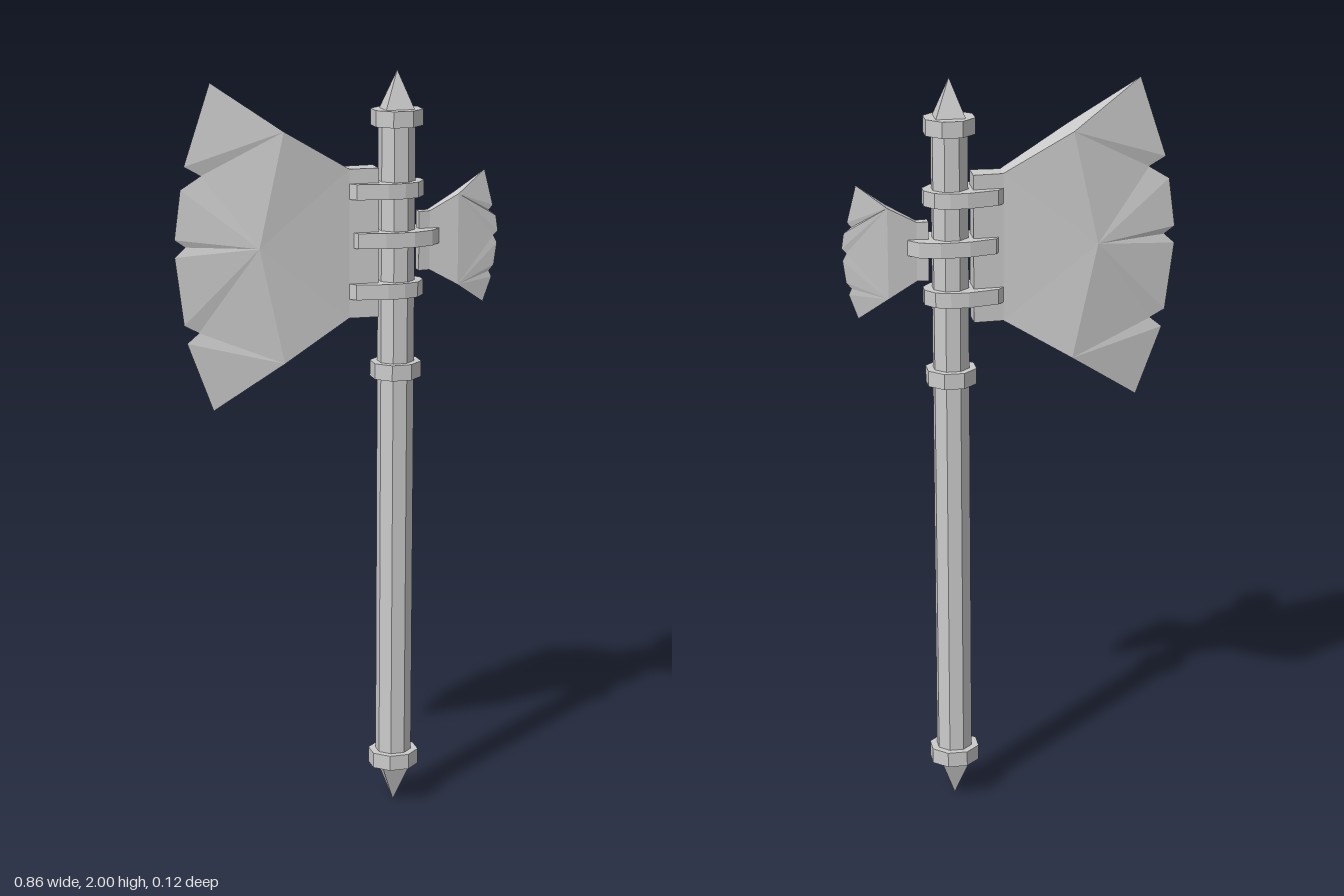
import * as THREE from 'three';

const material = new THREE.MeshStandardMaterial({ color: 0xcccccc, flatShading: true });
const SHAFT_X = 0.153;

function add(parent, name, geometry, x = 0, y = 0) {
  const mesh = new THREE.Mesh(geometry, material);
  mesh.name = name;
  mesh.position.set(x, y, 0);
  parent.add(mesh);
  return mesh;
}

// Eight-sided bar with flats facing the axes, slightly narrower in z
function octagon(halfWidth, height) {
  const r = halfWidth / Math.cos(Math.PI / 8);
  return new THREE.CylinderGeometry(r, r, height, 8).rotateY(Math.PI / 8).scale(1, 1, 0.92);
}

// Blade skinned over rows of points (root to cutting edge, each listed top to bottom).
// Each row has a half thickness z; flip is set for a blade growing towards +x.
function bladeGeometry(rows, flip) {
  const positions = [];
  const front = rows.map(r => r.points.map(([x, y]) => new THREE.Vector3(x, y, r.z)));
  const back = rows.map(r => r.points.map(([x, y]) => new THREE.Vector3(x, y, -r.z)));
  const tri = (a, b, c) => {
    if (a.equals(b) || b.equals(c) || a.equals(c)) return;
    for (const p of flip ? [a, c, b] : [a, b, c]) positions.push(p.x, p.y, p.z);
  };
  const quad = (a, b, c, d) => { tri(a, b, c); tri(a, c, d); };

  for (let k = 0; k < rows.length - 1; k++) {
    const a = front[k], b = front[k + 1], A = back[k], B = back[k + 1];
    // Zip both rows together along the shorter diagonal
    let i = 0, j = 0;
    while (i < a.length - 1 || j < b.length - 1) {
      const stepA = j === b.length - 1 ||
        (i < a.length - 1 && a[i + 1].distanceTo(b[j]) < a[i].distanceTo(b[j + 1]));
      if (stepA) {
        tri(a[i], b[j], a[i + 1]);
        tri(A[i], A[i + 1], B[j]);
        i++;
      } else {
        tri(a[i], b[j], b[j + 1]);
        tri(A[i], B[j + 1], B[j]);
        j++;
      }
    }
    // Upper and lower rims
    quad(a[0], A[0], B[0], b[0]);
    quad(a[i], b[j], B[j], A[i]);
  }
  // Root end
  const f = front[0], g = back[0], n = f.length - 1;
  quad(f[0], f[n], g[n], g[0]);

  const geometry = new THREE.BufferGeometry();
  geometry.setAttribute('position', new THREE.Float32BufferAttribute(positions, 3));
  geometry.computeVertexNormals();
  return geometry;
}

// Strap outline given on one side and mirrored in z
function strapGeometry(half, height) {
  const outline = [...half, ...half.map(([x, z]) => [x, -z]).reverse()];
  const shape = new THREE.Shape(outline.map(([x, z]) => new THREE.Vector2(x, z)));
  return new THREE.ExtrudeGeometry(shape, { depth: height, bevelEnabled: false })
    .rotateX(-Math.PI / 2).translate(0, -height / 2, 0);
}

export function createModel() {
  const axe = new THREE.Group();
  axe.name = 'battleAxe';

  // Shaft, collars and end spikes
  add(axe, 'shaft', octagon(0.045, 1.78), SHAFT_X, 1.0);
  [['lowerCollar', 0.13], ['middleCollar', 1.22], ['upperCollar', 1.88]].forEach(([name, y]) =>
    add(axe, name, octagon(0.063, 0.042), SHAFT_X, y));
  const spike = new THREE.ConeGeometry(0.054, 0.1, 4).rotateY(Math.PI / 4).scale(1, 1, 0.82);
  add(axe, 'topSpike', spike, SHAFT_X, 1.95);
  add(axe, 'bottomSpike', spike.clone().scale(1, 1.08, 1).rotateX(Math.PI), SHAFT_X, 0.054);

  // Large blade with a notched edge
  add(axe, 'largeBlade', bladeGeometry([
    { z: 0.029, points: [[0.097, 1.755], [0.097, 1.367]] },
    { z: 0.025, points: [[0.02, 1.755], [0.02, 1.367]] },
    { z: 0.046, points: [[-0.157, 1.86], [-0.222, 1.565], [-0.157, 1.262]] },
    { z: 0, points: [
      [-0.336, 1.983], [-0.405, 1.775], [-0.362, 1.75], [-0.415, 1.717], [-0.432, 1.59],
      [-0.405, 1.57], [-0.432, 1.545], [-0.41, 1.367], [-0.372, 1.346], [-0.403, 1.32],
      [-0.336, 1.138]] },
  ], false));

  // Small rear blade
  add(axe, 'smallBlade', bladeGeometry([
    { z: 0.014, points: [[0.21, 1.635], [0.21, 1.48]] },
    { z: 0.011, points: [[0.24, 1.635], [0.24, 1.48]] },
    { z: 0.019, points: [[0.315, 1.677], [0.315, 1.438]] },
    { z: 0, points: [
      [0.391, 1.735], [0.415, 1.64], [0.404, 1.627], [0.424, 1.612], [0.43, 1.572],
      [0.418, 1.56], [0.428, 1.54], [0.42, 1.482], [0.407, 1.466], [0.414, 1.45],
      [0.391, 1.385]] },
  ], true));

  // Straps binding the blades to the shaft
  const outer = strapGeometry(
    [[0.02, 0.025], [0.035, 0.042], [0.115, 0.059], [0.16, 0.058], [0.198, 0.046], [0.222, 0.015]], 0.04);
  const middle = strapGeometry(
    [[0.03, 0.022], [0.04, 0.04], [0.11, 0.057], [0.185, 0.059], [0.238, 0.043], [0.264, 0.015]], 0.04);
  add(axe, 'upperStrap', outer, 0, 1.697);
  add(axe, 'middleStrap', middle, 0, 1.57);
  add(axe, 'lowerStrap', outer, 0, 1.437);

  return axe;
}
